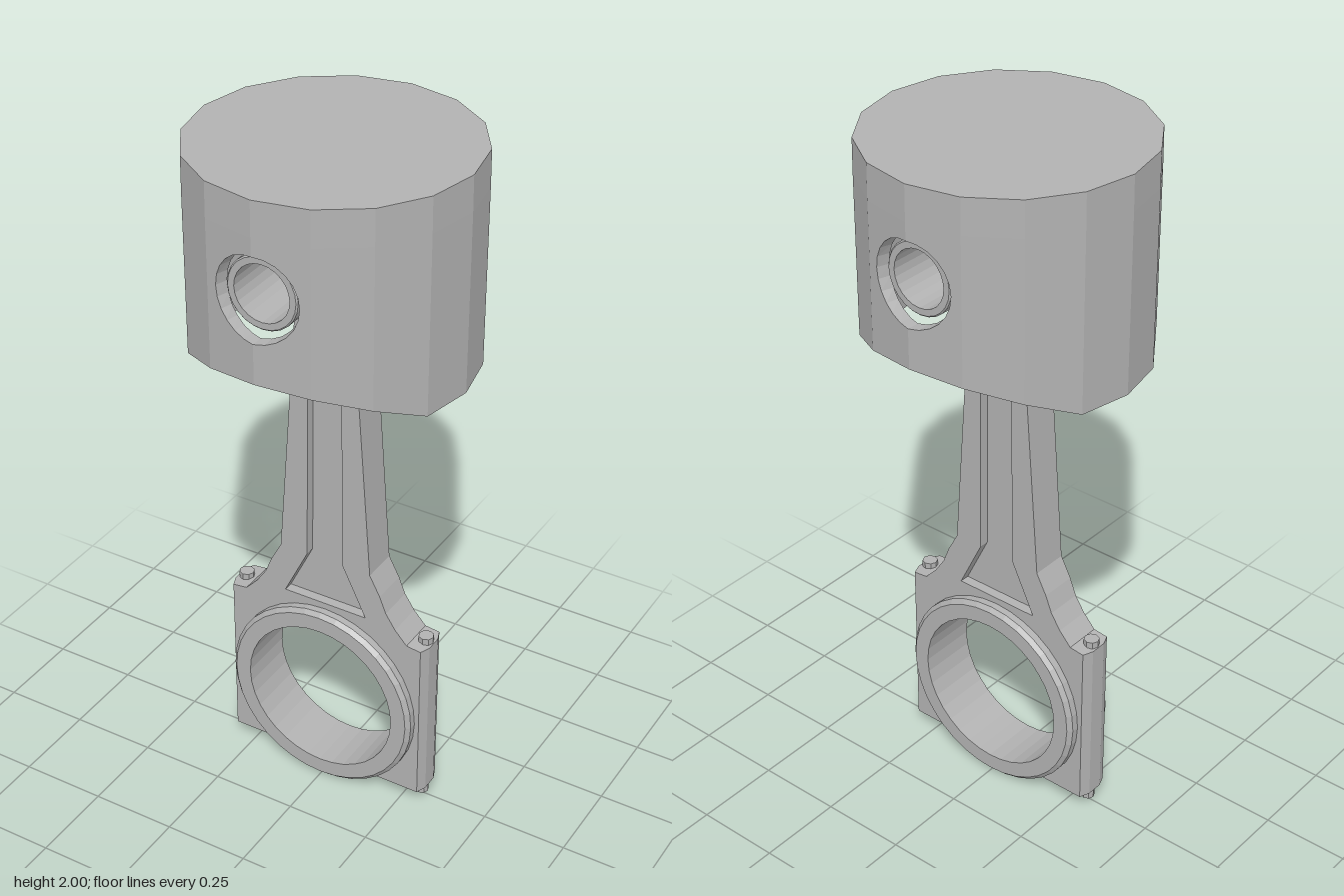
import * as THREE from 'three';

const metal = new THREE.MeshStandardMaterial({ color: 0xb2b2b2, flatShading: true });
metal.name = 'machined metal';

const SIDES = 16, R_OUT = 0.388, R_IN = 0.352, CROWN_Y = 1.9;
const PIN_Y = 1.73, BORE_Y = 0.293;

function add(parent, name, geometry, x = 0, y = 0, z = 0) {
  const mesh = new THREE.Mesh(geometry, metal);
  mesh.name = name;
  mesh.position.set(x, y, z);
  parent.add(mesh);
  return mesh;
}

const points = (list) => list.map(([x, y]) => new THREE.Vector2(x, y));

// Mirrors a right-hand outline (listed bottom to top) into a closed outline
const mirrored = (half) => points([...half, ...half.map(([x, y]) => [-x, y]).reverse()]);

// Extrusion centred on z = 0
function plate(shape, depth) {
  const g = new THREE.ExtrudeGeometry(shape, { depth, bevelEnabled: false, curveSegments: 32 });
  return g.translate(0, 0, -depth / 2);
}

// Ring about the z axis with chamfered outer rims
function ringGeometry(rIn, rOut, half, chamfer, segments) {
  const profile = points([
    [rIn, -half], [rOut - chamfer, -half], [rOut, -half + chamfer],
    [rOut, half - chamfer], [rOut - chamfer, half], [rIn, half], [rIn, -half],
  ]);
  return new THREE.LatheGeometry(profile, segments).rotateX(Math.PI / 2);
}

// One flat side of the skirt; holeSide 0 or 1 cuts half a pin hole in that edge
function skirtPanel(index, holeSide) {
  const step = (Math.PI * 2) / SIDES;
  const a = index * step, b = a + step;
  const bottom = (t) => 1.39 + Math.max(0, Math.abs(Math.cos(t)) * R_OUT - 0.149) * 0.44;
  const arc = [];
  for (let i = 0; i <= 12; i++) {
    const t = (i / 12) * Math.PI; // bottom to top
    const u = (0.12 * Math.sin(t)) / (R_OUT * Math.sin(step));
    arc.push([holeSide === 1 ? 1 - u : u, PIN_Y - 0.12 * Math.cos(t)]);
  }
  const outline = [[0, bottom(a)], [1, bottom(b)]];
  if (holeSide === 1) outline.push(...arc);
  outline.push([1, CROWN_Y], [0, CROWN_Y]);
  if (holeSide === 0) outline.push(...arc.reverse());
  const g = new THREE.ExtrudeGeometry(new THREE.Shape(points(outline)), { depth: 1, bevelEnabled: false });
  // Bend the unit panel onto its side of the polygon
  const p = g.attributes.position;
  for (let i = 0; i < p.count; i++) {
    const u = p.getX(i), r = THREE.MathUtils.lerp(R_IN, R_OUT, p.getZ(i));
    p.setX(i, r * THREE.MathUtils.lerp(Math.sin(a), Math.sin(b), u));
    p.setZ(i, r * THREE.MathUtils.lerp(Math.cos(a), Math.cos(b), u));
  }
  g.computeVertexNormals();
  return g;
}

function createPiston() {
  const piston = new THREE.Group();
  piston.name = 'piston';
  const crownHeight = 2 - CROWN_Y;
  add(piston, 'crown', new THREE.CylinderGeometry(R_OUT - 0.001, R_OUT, crownHeight, SIDES), 0, 2 - crownHeight / 2, 0);
  const holeSides = { 0: 0, 8: 0, 7: 1, 15: 1 };
  for (let i = 0; i < SIDES; i++) add(piston, 'skirtPanel', skirtPanel(i, holeSides[i]));
  add(piston, 'wristPin', ringGeometry(0.08, 0.102, 0.345, 0.004, 24), 0, PIN_Y, 0);
  return piston;
}

function createRod() {
  const rod = new THREE.Group();
  rod.name = 'connectingRod';

  // Shank and big-end block in one outline
  const body = new THREE.Shape(mirrored([
    [0.306, 0.045], [0.306, 0.555], [0.262, 0.56], [0.225, 0.6], [0.195, 0.645],
    [0.175, 0.695], [0.143, 0.755], [0.09, 1.5], [0.083, 1.63],
  ]));
  const bore = new THREE.Path();
  bore.absarc(0, BORE_Y, 0.246, 0, Math.PI * 2, true);
  const recess = [[0.13, 0.605], [0.057, 0.755], [0.05, 1.5], [0.035, 1.57]];
  body.holes.push(bore, new THREE.Path(mirrored(recess)));
  add(rod, 'body', plate(body, 0.108));

  // Thin web at the bottom of the front and back recesses
  add(rod, 'web', plate(new THREE.Shape(mirrored(recess)), 0.05));

  add(rod, 'bigEndRing', ringGeometry(0.234, 0.293, 0.087, 0.012, 36), 0, BORE_Y, 0);
  add(rod, 'smallEndRing', ringGeometry(0.1, 0.145, 0.055, 0.006, 28), 0, PIN_Y, 0);

  for (const side of [-1, 1]) {
    // Chamfered outer edge of the block
    const edge = new THREE.Shape(points([[-0.054, 0], [0.054, 0], [0.024, 0.012], [-0.024, 0.012]]));
    const g = new THREE.ExtrudeGeometry(edge, { depth: 0.51, bevelEnabled: false });
    g.rotateX(-Math.PI / 2).rotateY(-side * Math.PI / 2);
    add(rod, 'blockEdge', g, side * 0.306, 0.045, 0);

    // Bolt head above and nut below
    add(rod, 'boltHead', new THREE.CylinderGeometry(0.022, 0.022, 0.03, 8), side * 0.294, 0.56, 0);
    add(rod, 'boltNut', new THREE.CylinderGeometry(0.02, 0.02, 0.04, 8), side * 0.294, 0.033, 0);
  }
  return rod;
}

export function createModel() {
  const model = new THREE.Group();
  model.name = 'pistonAndRod';
  model.add(createPiston(), createRod());
  return model;
}
